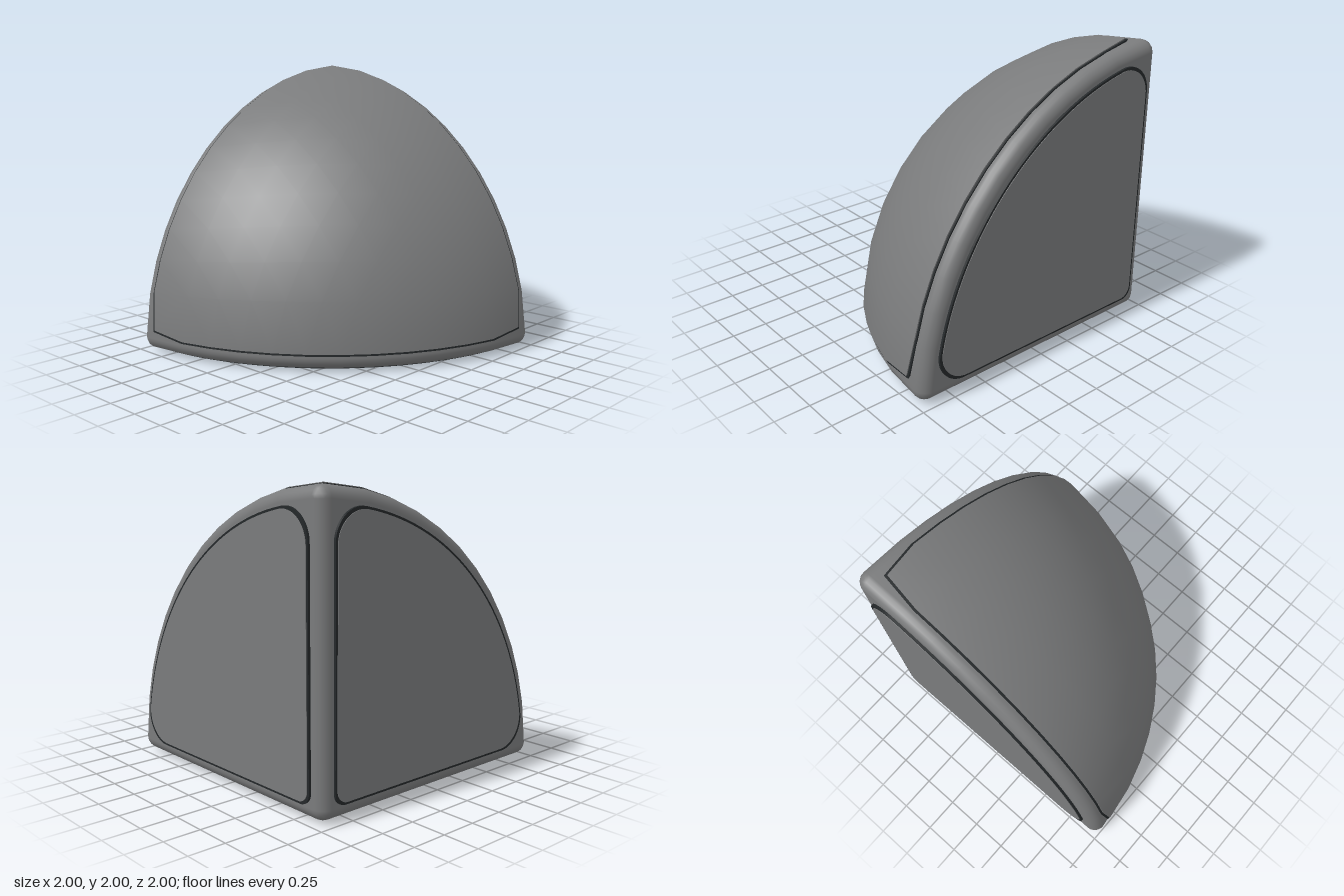
import * as THREE from 'three';
import { ConvexGeometry } from 'three/addons/geometries/ConvexGeometry.js';

const V = (x, y, z) => new THREE.Vector3(x, y, z);
const STEPS = 12;

// Visit every weight triple of a triangular grid
function eachWeight(n, visit) {
  for (let i = 0; i <= n; i++) {
    for (let j = 0; j <= n - i; j++) visit(i / n, j / n, (n - i - j) / n);
  }
}

// Points of an eighth of a sphere, held a margin away from the three flat planes
function octantPoints(radius, margin, tipMargin = margin) {
  const points = [];
  eachWeight(STEPS, (a, b, c) => {
    const m = Math.max(a, b, c) === 1 ? tipMargin : margin;
    const d = V(a ** 0.75, b ** 0.75, c ** 0.75).normalize();
    const s = m * (d.x + d.y + d.z);
    const t = -s + Math.sqrt(s * s - 3 * m * m + radius * radius);
    points.push(d.multiplyScalar(t).addScalar(m));
  });
  return points;
}

// Convex solid with a smooth normal at each point; steep faces stay flat
function smoothHull(samples) {
  const key = (x, y, z) => [x, y, z].map(Math.fround).join();
  const normals = new Map(samples.map(({ p, n }) => [key(p.x, p.y, p.z), n]));
  const geo = new ConvexGeometry(samples.map((s) => s.p));
  const pos = geo.attributes.position;
  const nor = geo.attributes.normal;
  const face = V(0, 0, 0);
  for (let i = 0; i < pos.count; i++) {
    const n = normals.get(key(pos.getX(i), pos.getY(i), pos.getZ(i)));
    face.fromBufferAttribute(nor, i);
    if (n && n.dot(face) > 0.5) nor.setXYZ(i, n.x, n.y, n.z);
  }
  return geo;
}

// Eighth of a sphere with every edge and corner rounded
function bodyGeometry(radius, inset, round) {
  const core = radius - round;
  const margin = inset + round;
  const axes = [V(-1, 0, 0), V(0, -1, 0), V(0, 0, -1)];
  const samples = [];
  const addRounded = (c, dirs) => eachWeight(5, (...w) => {
    if (w.some((v, i) => v > 0 && i >= dirs.length)) return;
    const n = V(0, 0, 0);
    dirs.forEach((d, i) => n.addScaledVector(d, w[i]));
    n.normalize();
    samples.push({ p: c.clone().addScaledVector(n, round), n });
  });
  addRounded(V(margin, margin, margin), axes);
  for (const c of octantPoints(core, margin)) {
    const flat = axes.filter((a) => -a.dot(c) < margin + 1e-6);
    addRounded(c, [c.clone().normalize(), ...flat]);
  }
  return smoothHull(samples);
}

// Curved shell piece that sits in the body
function shellGeometry(radius, margin, tipMargin) {
  return smoothHull(octantPoints(radius, margin, tipMargin)
    .map((p) => ({ p, n: p.clone().normalize() })));
}

// Quarter disc with rounded corners, its outer face at the given depth
function plateGeometry(margin, radius, depth) {
  const inner = 0.08;
  const tip = 0.2;
  const near = margin + tip;
  const far = Math.sqrt((radius - tip) ** 2 - near ** 2);
  const angle = Math.atan2(near, far);
  const shape = new THREE.Shape();
  shape.absarc(margin + inner, margin + inner, inner, Math.PI, Math.PI * 1.5);
  shape.absarc(far, near, tip, -Math.PI / 2, angle);
  shape.absarc(0, 0, radius, angle, Math.PI / 2 - angle);
  shape.absarc(near, far, tip, Math.PI / 2 - angle, Math.PI);
  const geo = new THREE.ExtrudeGeometry(shape, {
    depth: 0.03 - depth, bevelEnabled: false, curveSegments: 16,
  });
  return geo.translate(0, 0, depth);
}

export function createModel() {
  const grey = new THREE.MeshStandardMaterial({ color: 0x7a7b7c });
  grey.name = 'grey';
  const dark = new THREE.MeshStandardMaterial({ color: 0x24282a });
  dark.name = 'dark seam';

  const model = new THREE.Group();
  model.name = 'sphereOctant';
  const add = (name, geo, mat, parent = model) => {
    const mesh = new THREE.Mesh(geo, mat);
    mesh.name = name;
    parent.add(mesh);
  };

  // Rounded body and the curved cover with its seam
  add('body', bodyGeometry(2.0, 0.02, 0.08), grey);
  add('curvedSeam', shellGeometry(2.007, 0.12, 0.158), dark);
  add('curvedCover', shellGeometry(2.014, 0.135, 0.173), grey);

  // Three flat plates, turned around the corner diagonal
  const seam = plateGeometry(0.115, 1.895, 0.004);
  const plate = plateGeometry(0.13, 1.88, 0);
  const diagonal = V(1, 1, 1).normalize();
  ['back', 'right', 'bottom'].forEach((side, i) => {
    const group = new THREE.Group();
    group.name = side + 'Face';
    group.quaternion.setFromAxisAngle(diagonal, (i * Math.PI * 2) / 3);
    add(side + 'Seam', seam, dark, group);
    add(side + 'Plate', plate, grey, group);
    model.add(group);
  });

  // Move the inner corner so the whole is centred on the ground
  model.position.set(-1, 0, -1);
  const root = new THREE.Group();
  root.name = 'model';
  root.add(model);
  return root;
}
